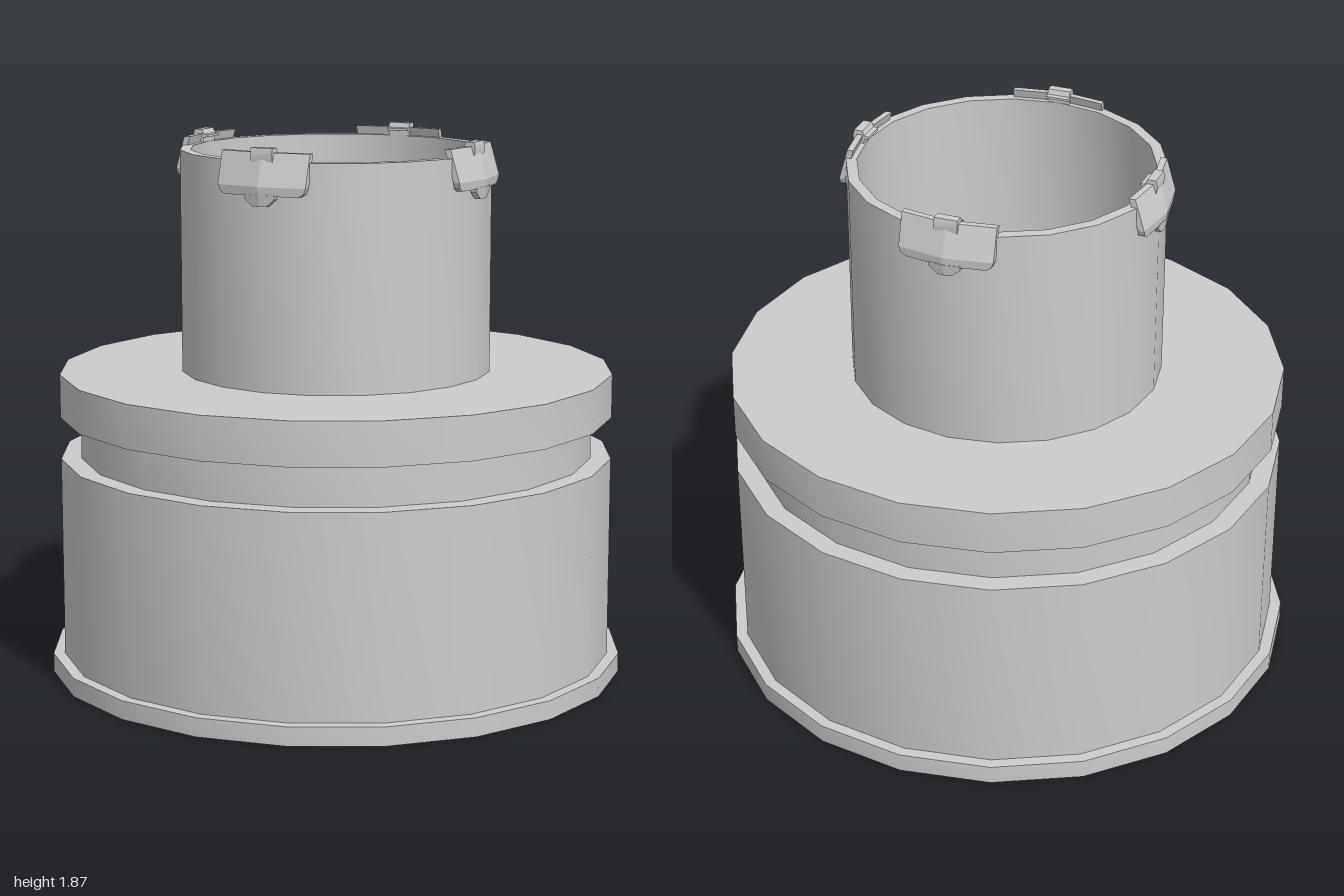
import * as THREE from 'three';
import { toCreasedNormals } from 'three/addons/utils/BufferGeometryUtils.js';

const SIDES = 20;
const FOLD = Math.tan(Math.PI / SIDES); // clips follow the corner between two facets
const material = new THREE.MeshStandardMaterial({ color: 0xcccccc });

function addMesh(parent, name, geometry) {
  const mesh = new THREE.Mesh(toCreasedNormals(geometry, 0.5), material);
  mesh.name = name;
  parent.add(mesh);
}

function turned(profile) {
  return new THREE.LatheGeometry(profile.map(([r, y]) => new THREE.Vector2(r, y)), SIDES);
}

// Extrudes an outline, then leans it from radius r0 (bottom) to r1 (top) and folds it round the neck
function foldedPlate(outline, side, y0, y1, r0, r1, depth) {
  const shape = new THREE.Shape(outline.map(([x, y]) => new THREE.Vector2(x * side, y)));
  const geometry = new THREE.ExtrudeGeometry(shape, { depth, bevelEnabled: false });
  const p = geometry.attributes.position;
  for (let i = 0; i < p.count; i++) {
    const t = (p.getY(i) - y0) / (y1 - y0);
    const r = r0 + (r1 - r0) * t - depth;
    p.setZ(i, p.getZ(i) + r - Math.abs(p.getX(i)) * FOLD);
  }
  return geometry;
}

function createClip() {
  const clip = new THREE.Group();
  clip.name = 'clip';
  for (const side of [1, -1]) {
    // leaning upper plate, upright lower plate with cut corners, tapered lower tab
    addMesh(clip, 'clipUpperPlate', foldedPlate(
      [[0, 1.74], [0.163, 1.74], [0.163, 1.85], [0, 1.85]], side, 1.74, 1.85, 0.565, 0.532, 0.022));
    addMesh(clip, 'clipLowerPlate', foldedPlate(
      [[0, 1.71], [0.138, 1.71], [0.155, 1.72], [0.163, 1.74], [0, 1.74]], side, 1.71, 1.74, 0.562, 0.565, 0.022));
    addMesh(clip, 'clipLowerTab', foldedPlate(
      [[0, 1.675], [0.026, 1.675], [0.055, 1.7], [0.055, 1.715], [0, 1.715]], side, 1.675, 1.715, 0.558, 0.564, 0.022));
  }
  // hook reaching over the rim, drawn in side profile as (radius, y)
  const hook = new THREE.Shape([[0.5, 1.82], [0.537, 1.82], [0.54, 1.845], [0.535, 1.865],
    [0.505, 1.865], [0.498, 1.848], [0.482, 1.846], [0.482, 1.838], [0.5, 1.836]]
    .map(([r, y]) => new THREE.Vector2(r, y)));
  const hookGeometry = new THREE.ExtrudeGeometry(hook, { depth: 0.08, bevelEnabled: false });
  hookGeometry.translate(0, 0, -0.04).rotateY(-Math.PI / 2);
  addMesh(clip, 'clipHook', hookGeometry);
  return clip;
}

export function createModel() {
  const model = new THREE.Group();
  model.name = 'cappedContainer';

  // Stepped base
  addMesh(model, 'baseRim', turned([[0, 0], [1, 0], [1, 0.065], [0.96, 0.065]]));
  addMesh(model, 'body', turned([[0.96, 0.065], [0.96, 0.76], [0.89, 0.76]]));
  addMesh(model, 'groove', turned([[0.89, 0.76], [0.89, 0.905]]));
  addMesh(model, 'flange', turned([[0.89, 0.905], [0.96, 0.905], [0.96, 1.055], [0, 1.055]]));

  // Open hollow neck
  addMesh(model, 'neck', turned([[0.537, 1.055], [0.537, 1.82], [0.5, 1.82], [0.5, 1.055]]));

  // Four clips on the rim
  for (let i = 0; i < 4; i++) {
    const clip = createClip();
    clip.rotation.y = i * Math.PI / 2;
    model.add(clip);
  }
  return model;
}
